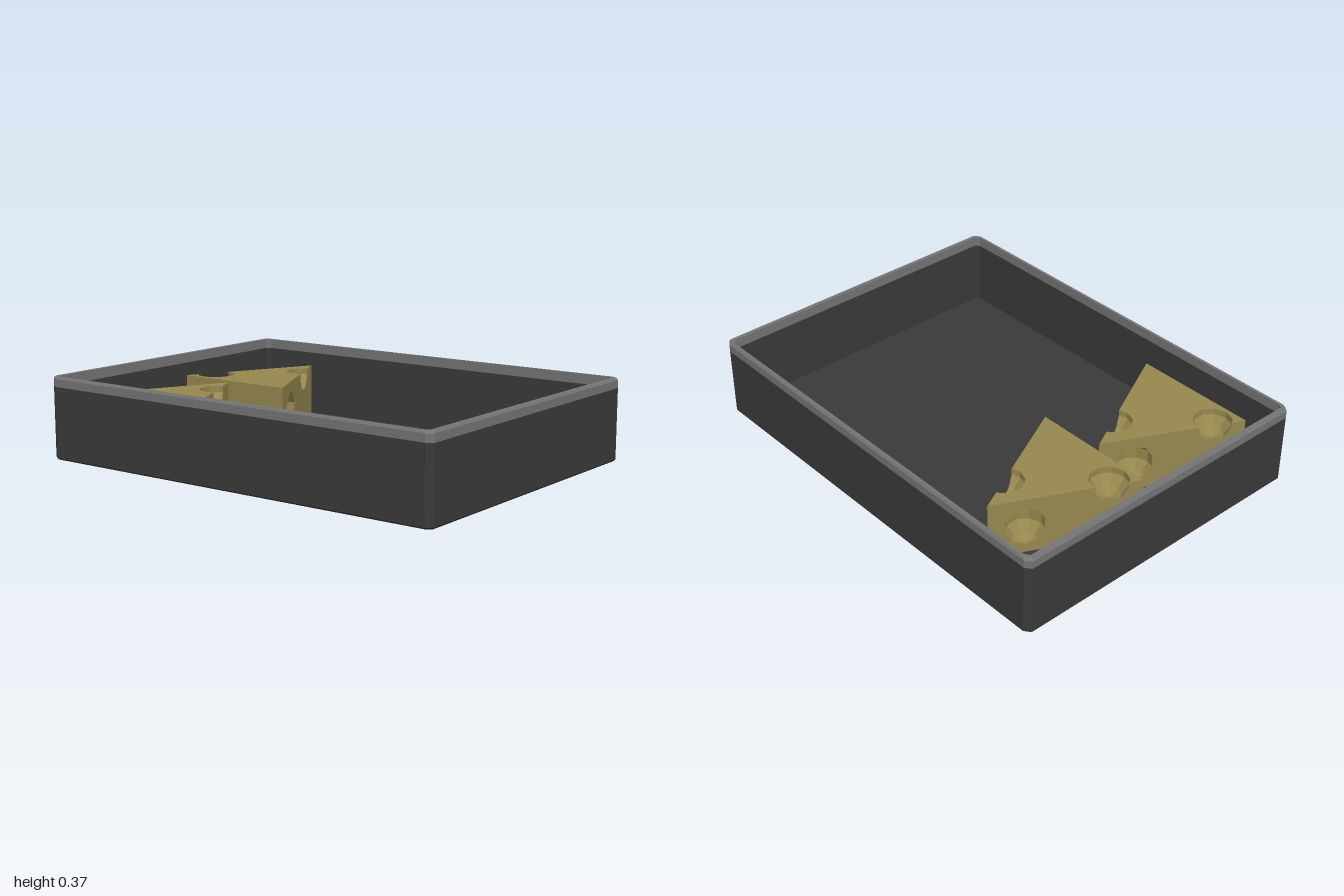
import * as THREE from 'three';

const material = (name, color, side = THREE.FrontSide) => {
  const m = new THREE.MeshStandardMaterial({ color, side });
  m.name = name;
  return m;
};

// Flat-faced geometry from a list of convex polygons
function fromPolygons(polygons) {
  const pos = [];
  for (const p of polygons)
    for (let i = 1; i < p.length - 1; i++)
      for (const v of [p[0], p[i], p[i + 1]]) pos.push(v.x, v.y, v.z);
  const g = new THREE.BufferGeometry();
  g.setAttribute('position', new THREE.Float32BufferAttribute(pos, 3));
  g.computeVertexNormals();
  return g;
}

// Rectangle with cut corners at height y, anticlockwise from above
function ring(hx, hz, cx, cz, y) {
  return [[hx, hz - cz], [hx, cz - hz], [hx - cx, -hz], [cx - hx, -hz],
    [-hx, cz - hz], [-hx, hz - cz], [cx - hx, hz], [hx - cx, hz]]
    .map(([x, z]) => new THREE.Vector3(x, y, z));
}

// Quads between successive rings
function skin(rings) {
  const out = [];
  for (let r = 0; r < rings.length - 1; r++) {
    const a = rings[r], b = rings[r + 1];
    a.forEach((v, i) => {
      const j = (i + 1) % a.length;
      out.push([v, a[j], b[j], b[i]]);
    });
  }
  return out;
}

// Split a convex polygon by a plane into the parts in front and behind
function split(poly, plane) {
  const d = poly.map((v) => plane.distanceToPoint(v));
  const front = [], back = [];
  poly.forEach((v, i) => {
    const j = (i + 1) % poly.length;
    if (d[i] >= -1e-6) front.push(v);
    if (d[i] <= 1e-6) back.push(v);
    if ((d[i] > 1e-6 && d[j] < -1e-6) || (d[i] < -1e-6 && d[j] > 1e-6)) {
      const p = v.clone().lerp(poly[j], d[i] / (d[i] - d[j]));
      front.push(p);
      back.push(p);
    }
  });
  return {
    front: d.some((k) => k > 1e-6) && front.length > 2 ? front : null,
    back: d.some((k) => k < -1e-6) && back.length > 2 ? back : null,
  };
}

const planeOf = (p) => new THREE.Plane().setFromCoplanarPoints(p[0], p[1], p[2]);

// Low-poly ball as a list of triangles
function ball(x, y, z, r) {
  const g = new THREE.SphereGeometry(r, 10, 5).translate(x, y, z).toNonIndexed();
  const a = g.attributes.position, tris = [];
  for (let i = 0; i < a.count; i += 3)
    tris.push([0, 1, 2].map((k) => new THREE.Vector3().fromBufferAttribute(a, i + k)));
  return tris;
}

// Triangular wedge with round hollows carved out of its faces
function wedgeGeometry() {
  const y0 = 0.022, y1 = 0.29, r = 0.09;
  const plan = [[-0.62, -0.29], [-0.04, -0.58], [-0.62, -0.87]];
  const low = plan.map(([x, z]) => new THREE.Vector3(x, y0, z));
  const high = plan.map(([x, z]) => new THREE.Vector3(x, y1, z));
  let faces = [high, [...low].reverse(), ...skin([low, high])];
  const bounds = faces.map(planeOf);
  const hollows = [
    ball(-0.517, y1, -0.777, r),
    ball(-0.2, y1, -0.5, r),
    ball(-0.47, 0.152, -0.365, r),
    ball(-0.18, 0.155, -0.65, r),
  ];
  const lining = [];
  for (const tris of hollows) {
    // Cut the opening out of the faces
    const kept = [];
    for (const face of faces) {
      const pieces = [];
      let rest = face;
      for (const t of tris) {
        if (!rest) break;
        const s = split(rest, planeOf(t));
        if (s.front) pieces.push(s.front);
        rest = s.back;
      }
      if (rest) kept.push(...pieces);
      else kept.push(face);
    }
    faces = kept;
    // Keep the part of the ball inside the wedge, turned inside out
    for (const t of tris) {
      let piece = t;
      for (const b of bounds) piece = piece && split(piece, b).back;
      if (piece) lining.push([...piece].reverse());
    }
  }
  return fromPolygons([...faces, ...lining]);
}

export function createModel() {
  const group = new THREE.Group();
  const dark = material('dark tray', 0x3a3a3a);
  const grey = material('grey rim', 0x757575);
  const yellow = material('dull yellow', 0x96884f);
  const add = (name, geometry, mat) => {
    const mesh = new THREE.Mesh(geometry, mat);
    mesh.name = name;
    group.add(mesh);
    return mesh;
  };

  const outer = (y, inset = 0) => ring(0.74 - inset, 1 - inset, 0.02, 0.027, y);
  const inner = (y) => ring(0.722, 0.975, 0.014, 0.02, y);

  // Tray: underside, outer walls, inner walls and floor
  const foot = outer(0, 0.005), floor = inner(0.022);
  add('tray', fromPolygons([
    [...foot].reverse(),
    ...skin([foot, outer(0.007), outer(0.325)]),
    ...skin([inner(0.325), floor]),
    floor,
  ]), dark);

  // Rim band running over the top of the walls
  add('rim', fromPolygons(
    skin([outer(0.325), outer(0.36), outer(0.37, 0.006), inner(0.37), inner(0.325)])
  ), grey);

  // Two wedges side by side at the back
  const wedge = wedgeGeometry();
  add('rightWedge', wedge, yellow);
  add('leftWedge', wedge, yellow).position.x = 0.615;

  return group;
}
